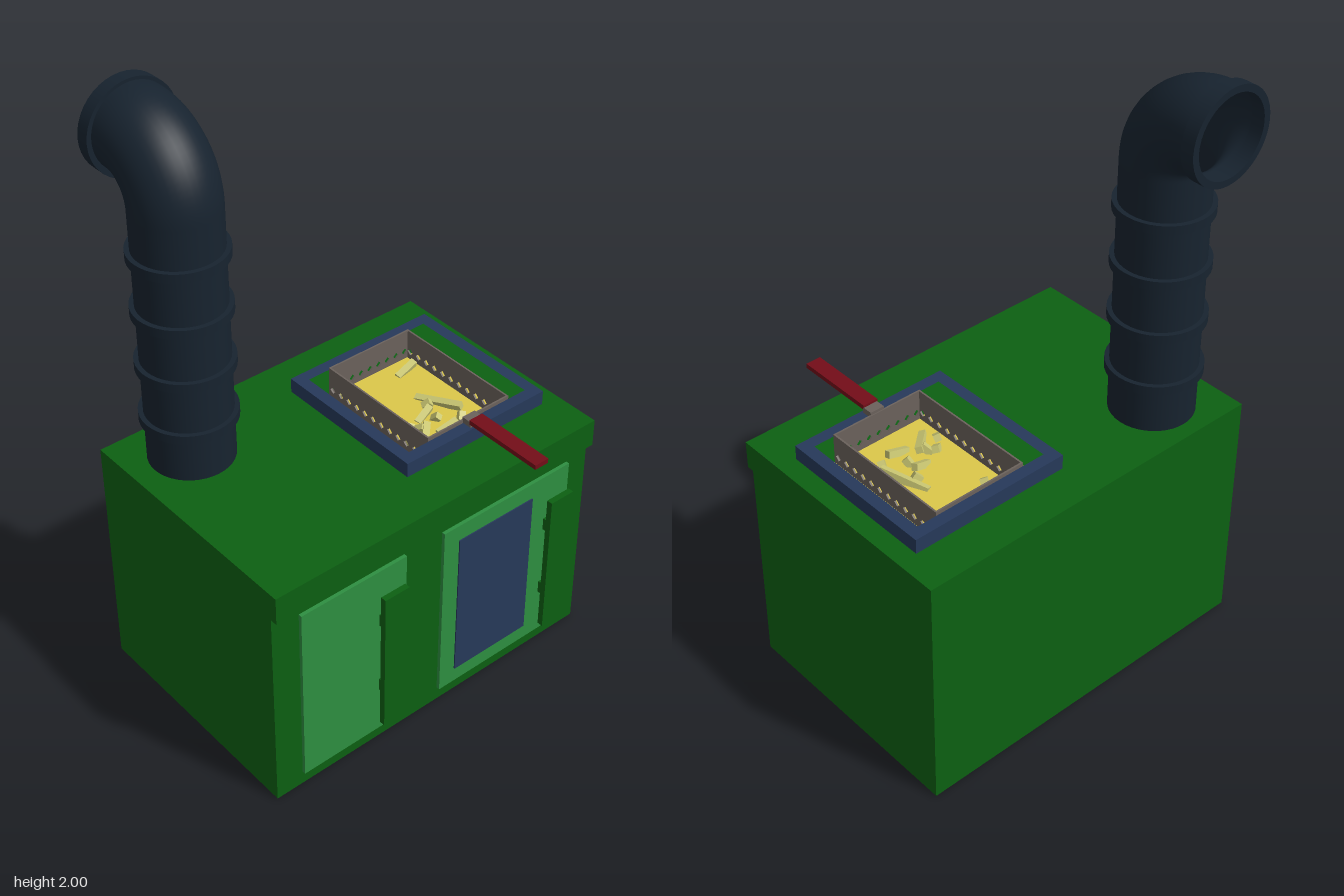
import * as THREE from 'three';

const mat = (color, side = THREE.FrontSide) => new THREE.MeshStandardMaterial({ color, side });

export function createModel() {
  const root = new THREE.Group();
  const green = mat(0x0c6012), lightGreen = mat(0x2e8f41), navy = mat(0x26395a);
  const pipe = mat(0x17232f, THREE.DoubleSide), steel = mat(0x6b625c, THREE.DoubleSide);
  const yellow = mat(0xdcc84a), red = mat(0x740d18), fry = mat(0xc9c672);

  const add = (name, geo, material, parent = root) => {
    const m = new THREE.Mesh(geo, material);
    m.name = name;
    parent.add(m);
    return m;
  };
  // Box given by its limits on each axis
  const box = (name, material, x0, x1, y0, y1, z0, z1, parent) => {
    const m = add(name, new THREE.BoxGeometry(x1 - x0, y1 - y0, z1 - z0), material, parent);
    m.position.set((x0 + x1) / 2, (y0 + y1) / 2, (z0 + z1) / 2);
    return m;
  };
  const rect = (P, x0, x1, z0, z1) => new P([[x0, -z0], [x1, -z0], [x1, -z1], [x0, -z1]]
    .map(([x, y]) => new THREE.Vector2(x, y)));
  // Horizontal slab with a rectangular opening
  const openSlab = (name, material, outer, inner, y0, y1) => {
    const s = rect(THREE.Shape, ...outer);
    s.holes.push(rect(THREE.Path, ...inner));
    const g = new THREE.ExtrudeGeometry(s, { depth: y1 - y0, bevelEnabled: false });
    g.rotateX(-Math.PI / 2);
    add(name, g, material).position.y = y0;
  };

  // Cabinet with an overhanging top and a fryer well
  const well = [-0.28, 0.19, -0.515, -0.04];
  box('cabinet', green, -0.46, 0.368, 0, 0.735, -0.62, 0.62);
  openSlab('cabinetTop', green, [-0.46, 0.393, -0.62, 0.62], well, 0.735, 0.83);
  openSlab('wellFrame', navy, [-0.32, 0.23, -0.555, 0], well, 0.83, 0.88);
  box('oil', yellow, -0.28, 0.19, 0.736, 0.785, -0.515, -0.04);

  // Doors, window and handles
  box('frontDoor', lightGreen, 0.36, 0.38, 0.05, 0.697, 0.13, 0.523);
  box('rearDoor', lightGreen, 0.36, 0.38, 0.05, 0.697, -0.535, -0.018);
  box('doorWindow', navy, 0.37, 0.384, 0.105, 0.64, -0.38, -0.078);
  for (const z of [0.208, -0.463]) {
    const handle = new THREE.Group();
    handle.name = 'doorHandle';
    root.add(handle);
    box('handleBar', green, 0.41, 0.43, 0.115, 0.63, z - 0.046, z + 0.046, handle);
    for (const y of [0.24, 0.505])
      box('handleMount', green, 0.375, 0.415, y - 0.022, y + 0.022, z - 0.025, z + 0.025, handle);
  }

  // Perforated basket
  const basket = new THREE.Group();
  basket.name = 'basket';
  root.add(basket);
  const wall = (length, count) => {
    const s = new THREE.Shape([[0, 0.75], [length, 0.75], [length, 0.89], [0, 0.89]]
      .map(p => new THREE.Vector2(...p)));
    for (let i = 0; i < count; i++) {
      const c = (i + 0.5) * length / count, r = 0.012, y = 0.812;
      s.holes.push(new THREE.Path([[c, y - r], [c + r, y], [c, y + r], [c - r, y]]
        .map(p => new THREE.Vector2(...p))));
    }
    return new THREE.ExtrudeGeometry(s, { depth: 0.006, bevelEnabled: false });
  };
  for (const z of [-0.447, -0.124])
    add('basketLongWall', wall(0.466, 12), steel, basket).position.set(-0.278, 0, z);
  for (const x of [-0.278, 0.182]) {
    const m = add('basketShortWall', wall(0.329, 9), steel, basket);
    m.rotation.y = -Math.PI / 2;
    m.position.set(x + 0.006, 0, -0.447);
  }
  box('basketHook', steel, 0.185, 0.222, 0.875, 0.9, -0.308, -0.258, basket);
  box('basketHandle', red, 0.218, 0.5, 0.892, 0.908, -0.308, -0.256, basket);

  // Fried pieces: x, z, length, turn, tilt
  const pieces = [
    [-0.215, -0.385, 0.08, 1.75, 0.3], [-0.02, -0.35, 0.16, 0.43, 0.15], [0.0, -0.27, 0.07, 1.9, 0.4],
    [0.035, -0.29, 0.03, 0.6, 0.8], [0.093, -0.285, 0.075, 1.57, 0.25], [0.085, -0.2, 0.11, 2.4, 0.2],
    [0.03, -0.185, 0.04, 2.4, 0.5], [0.07, -0.15, 0.03, 2.7, 0.5], [-0.24, -0.155, 0.045, 0.8, 0.4],
    [-0.18, -0.18, 0.03, 2.5, 0.6], [0.08, -0.355, 0.03, 2.6, 0.7], [0.045, -0.21, 0.04, 0.7, 0.6],
    [-0.035, -0.315, 0.03, 1.1, 0.7],
  ];
  for (const [x, z, length, turn, tilt] of pieces) {
    const m = add('friedPiece', new THREE.BoxGeometry(length, 0.022, 0.022), fry, basket);
    m.position.set(x, 0.793, z);
    m.rotation.set(0.3, turn, tilt, 'YXZ');
  }

  // Chimney: straight pipe, elbow and short outlet in one swept tube
  const cx = -0.275, cz = 0.415, r = 0.135, bend = 0.165, top = 1.69;
  const path = new THREE.CurvePath();
  const v = (x, y) => new THREE.Vector3(x, y, cz);
  const k = bend * 0.5523;
  path.add(new THREE.LineCurve3(v(cx, 0.82), v(cx, top)));
  path.add(new THREE.CubicBezierCurve3(v(cx, top), v(cx, top + k), v(cx - bend + k, top + bend), v(cx - bend, top + bend)));
  path.add(new THREE.LineCurve3(v(cx - bend, top + bend), v(-0.49, top + bend)));
  add('chimneyPipe', new THREE.TubeGeometry(path, 90, r, 40), pipe);

  // Collars along the pipe and at the outlet
  const collar = (name, h) => add(name, new THREE.LatheGeometry(
    [[0.128, -h], [0.15, -h], [0.15, -h], [0.15, h], [0.15, h], [0.128, h], [0.128, h], [0.128, -h]]
      .map(p => new THREE.Vector2(...p)), 40), pipe);
  for (const y of [0.99, 1.175, 1.36, 1.545])
    collar('pipeCollar', 0.015).position.set(cx, y, cz);
  const outlet = collar('outletCollar', 0.0225);
  outlet.rotation.z = Math.PI / 2;
  outlet.position.set(-0.4775, 1.85, cz);

  return root;
}
